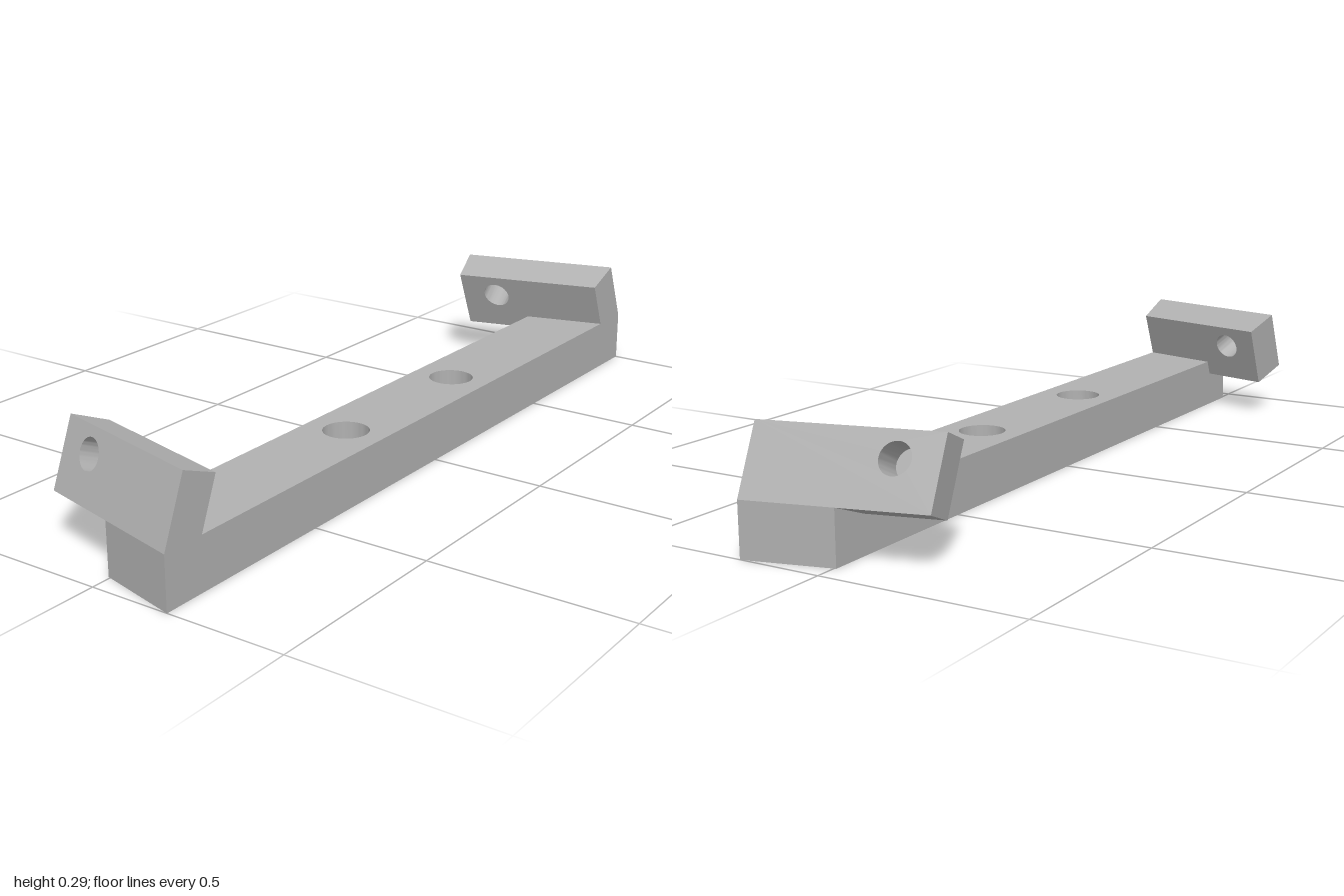
import * as THREE from 'three';
import { toCreasedNormals } from 'three/addons/utils/BufferGeometryUtils.js';

const RIGHT = 0.205, LEFT = -0.207, BEAM_LEFT = -0.005, BEAM_TOP = 0.13;
const SKEW = 0.256, LEAN = 0.411, THICK = 0.103;
const endZ = (x) => 0.948 + SKEW * x;

function polygon(points) {
  return new THREE.Shape(points.map(([x, y]) => new THREE.Vector2(x, y)));
}

function addHole(shape, x, y, rx, ry = rx) {
  const hole = new THREE.Path();
  hole.absellipse(x, y, rx, ry, 0, Math.PI * 2, true);
  shape.holes.push(hole);
}

// One layer of the beam with its skewed ends and two vertical bores
function beamLayer(y0, y1, radius) {
  const shape = polygon([
    [BEAM_LEFT, -endZ(BEAM_LEFT)], [RIGHT, -endZ(RIGHT)],
    [RIGHT, endZ(RIGHT)], [BEAM_LEFT, endZ(BEAM_LEFT)],
  ]);
  for (const z of [-0.236, 0.236]) addHole(shape, 0.1, z, radius);
  const geo = new THREE.ExtrudeGeometry(shape, { depth: y1 - y0, bevelEnabled: false, curveSegments: 24 });
  geo.rotateX(-Math.PI / 2).translate(0, y0, 0);
  return toCreasedNormals(geo, 0.6);
}

// Leaning, skewed end plate; side = 1 for front, -1 for the mirrored back
function armGeometry(side) {
  const shape = polygon([[LEFT, BEAM_TOP], [RIGHT, BEAM_TOP], [RIGHT, 0.288], [LEFT, 0.288]]);
  addHole(shape, -0.11, 0.231, 0.035, 0.034);
  const geo = new THREE.ExtrudeGeometry(shape, { depth: THICK, bevelEnabled: false, curveSegments: 24 });
  const normal = new THREE.Vector3(-SKEW, LEAN, 1).normalize();
  const pos = geo.attributes.position;
  const p = new THREE.Vector3();
  for (let i = 0; i < pos.count; i++) {
    let x = pos.getX(i);
    const y = pos.getY(i), t = pos.getZ(i) - THICK;
    // keep the outer end flush with the beam's side
    if (x > RIGHT - 0.001) x += -normal.x * t;
    if (x > RIGHT) x = RIGHT + normal.x * -t;
    if (pos.getX(i) > RIGHT - 0.001) x = RIGHT - normal.x * t;
    p.set(x, y, endZ(x) - LEAN * (y - BEAM_TOP)).addScaledVector(normal, t);
    pos.setXYZ(i, p.x, p.y, p.z * side);
  }
  // restore the corner order after mirroring
  if (side < 0) {
    const a = new THREE.Vector3(), b = new THREE.Vector3();
    for (let i = 0; i < pos.count; i += 3) {
      a.fromBufferAttribute(pos, i + 1);
      b.fromBufferAttribute(pos, i + 2);
      pos.setXYZ(i + 1, b.x, b.y, b.z);
      pos.setXYZ(i + 2, a.x, a.y, a.z);
    }
  }
  return toCreasedNormals(geo, 0.6);
}

export function createModel() {
  const model = new THREE.Group();
  model.name = 'bracket';
  const grey = new THREE.MeshStandardMaterial({ color: 0xb0b0b0 });
  grey.name = 'grey';
  const add = (name, geo) => {
    const mesh = new THREE.Mesh(geo, grey);
    mesh.name = name;
    model.add(mesh);
  };

  // Beam: narrow screw holes below, wide counterbores above
  add('beamBase', beamLayer(0, 0.04, 0.031));
  add('beamTop', beamLayer(0.04, BEAM_TOP, 0.057));

  // Leaning arms at both ends
  add('frontArm', armGeometry(1));
  add('backArm', armGeometry(-1));
  return model;
}
